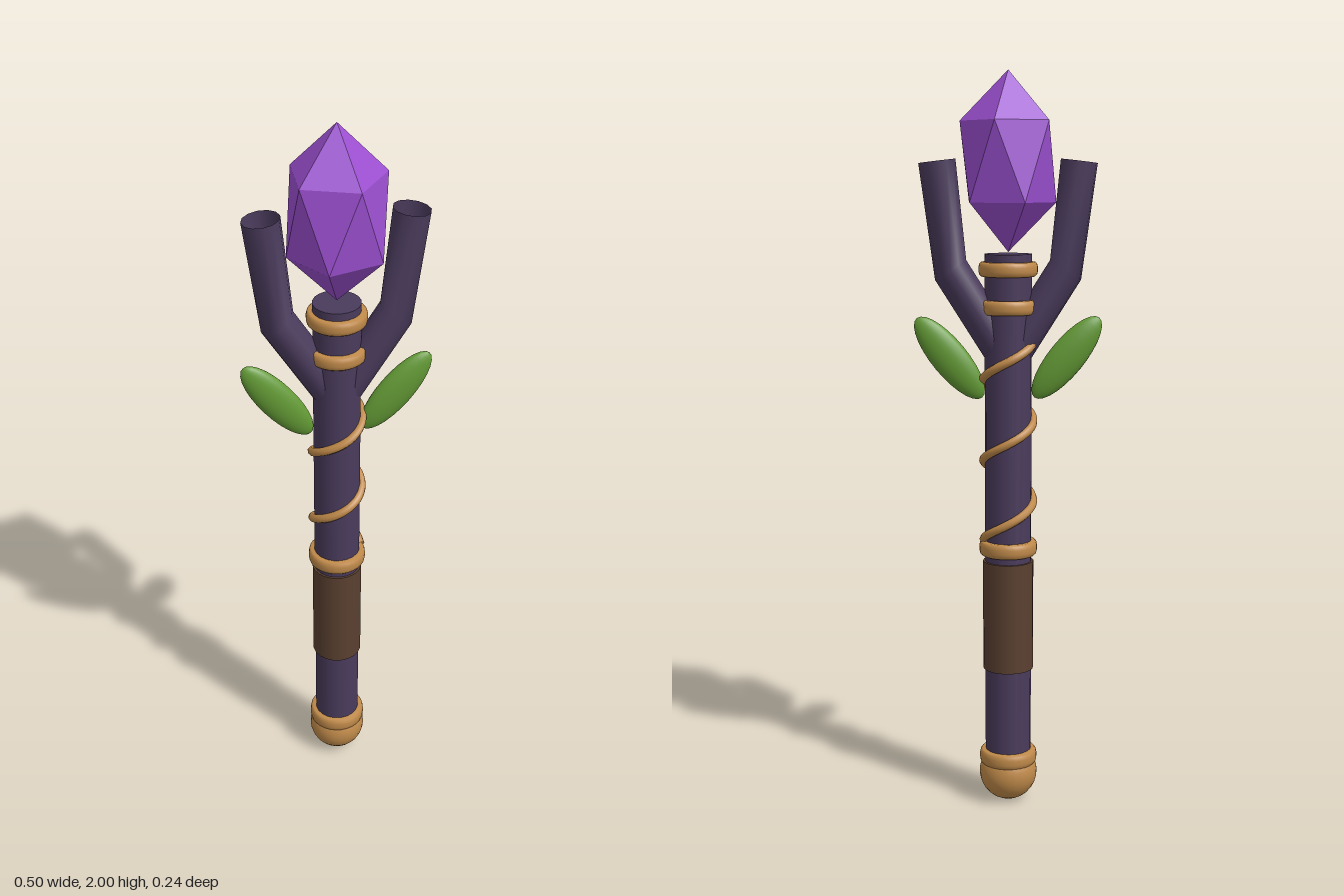
import * as THREE from 'three';
import { ConvexGeometry } from 'three/addons/geometries/ConvexGeometry.js';

const mat = (color, extra = {}) => {
  const m = new THREE.MeshStandardMaterial(extra);
  m.color.set(color);
  return m;
};

export function createModel() {
  const staff = new THREE.Group();
  staff.name = 'crystalStaff';

  const wood = mat(0x4a3b5c);
  const openWood = mat(0x4a3b5c, { side: THREE.DoubleSide });
  const leather = mat(0x5a4030);
  const brass = mat(0xc08a4a, { side: THREE.DoubleSide });
  const green = mat(0x639a35);
  const purple = mat(0x9b4fd0, { flatShading: true });

  const add = (name, geometry, material, x = 0, y = 0, z = 0) => {
    const mesh = new THREE.Mesh(geometry, material);
    mesh.name = name;
    mesh.position.set(x, y, z);
    staff.add(mesh);
    return mesh;
  };

  // Shaft, grip and pommel
  add('shaft', new THREE.CylinderGeometry(0.063, 0.063, 1.425, 20), wood, 0, 0.8125);
  add('grip', new THREE.CylinderGeometry(0.069, 0.069, 0.305, 20), leather, 0, 0.5375);
  add('pommel', new THREE.SphereGeometry(0.08, 24, 16), brass, 0, 0.083);

  // Metal bands with softly rounded rims
  const band = (name, y, height) => {
    const h = height / 2;
    const profile = [[0.055, -h], [0.072, -h], [0.077, -h * 0.75], [0.079, -h * 0.3],
      [0.079, h * 0.3], [0.077, h * 0.75], [0.072, h], [0.055, h]];
    const points = profile.map(([r, py]) => new THREE.Vector2(r, py));
    add(name, new THREE.LatheGeometry(points, 28), brass, 0, y);
  };
  band('pommelBand', 0.13, 0.042);
  band('gripBand', 0.728, 0.04);
  band('lowerCollar', 1.385, 0.038);
  band('upperCollar', 1.485, 0.038);

  // Vine winding two and a half turns up the shaft
  const turns = 2.5;
  const coil = [];
  for (let i = 0; i <= 40; i++) {
    const t = i / 40;
    const a = t * turns * Math.PI * 2;
    coil.push(new THREE.Vector3(0.067 * Math.cos(a), 0.75 + 0.55 * t, -0.067 * Math.sin(a)));
  }
  add('vine', new THREE.TubeGeometry(new THREE.CatmullRomCurve3(coil), 100, 0.012, 8), brass);

  // Paired prongs and leaves
  for (const [side, s] of [['left', 1], ['right', -1]]) {
    const base = new THREE.Vector3(0, 1.24, 0);
    const bend = new THREE.Vector3(s * 0.153, 1.483, 0);
    const tip = new THREE.Vector3(s * 0.187, 1.767, 0);
    const path = new THREE.CurvePath();
    path.add(new THREE.LineCurve3(base, bend));
    path.add(new THREE.LineCurve3(bend, tip));
    add(side + 'Prong', new THREE.TubeGeometry(path, 2, 0.049, 12), openWood);

    const leaf = add(side + 'Leaf', new THREE.SphereGeometry(1, 20, 14), green, s * 0.157, 1.248);
    leaf.scale.set(0.048, 0.138, 0.025);
    leaf.rotation.z = -s * 0.68;
  }

  // Crystal: two poles and two staggered rings of five
  const corners = [new THREE.Vector3(0, 0.235, 0), new THREE.Vector3(0, -0.235, 0)];
  for (let i = 0; i < 10; i++) {
    const a = i * Math.PI / 5;
    corners.push(new THREE.Vector3(0.127 * Math.cos(a), i % 2 ? -0.105 : 0.105, 0.127 * Math.sin(a)));
  }
  add('crystal', new ConvexGeometry(corners), purple, 0, 1.765);

  return staff;
}
